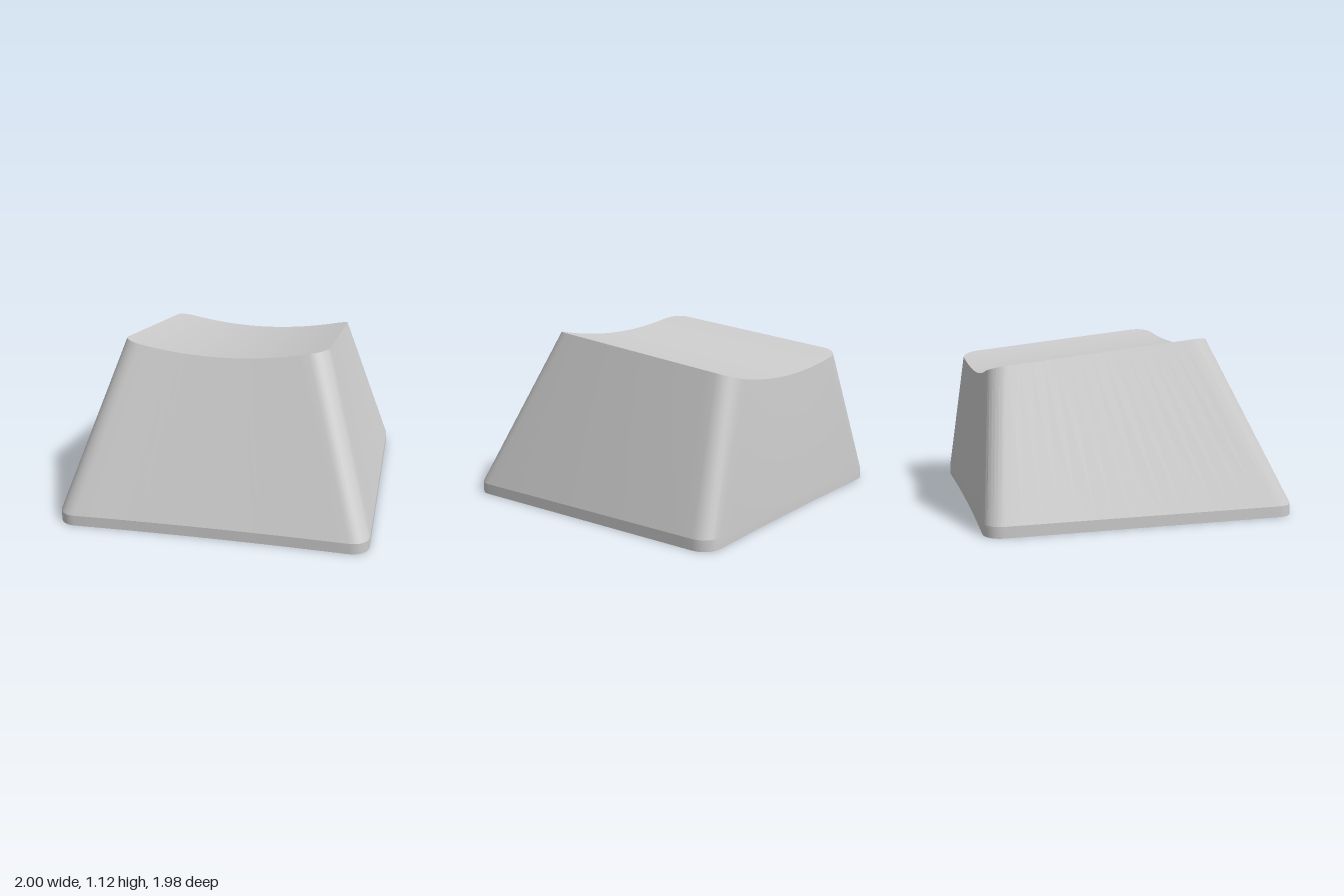
import * as THREE from 'three';
import { toCreasedNormals } from 'three/addons/utils/BufferGeometryUtils.js';

const grey = new THREE.MeshStandardMaterial({ color: 0xcccccc });

// Dished, forward-rising top surface and the plain tilted ceiling below it
const dish = (x, z) => 1.05 + 0.117 * (z - 0.54) + 0.08 * (x / 0.665) ** 2;
const ceiling = (x, z) => 0.89 + 0.117 * (z - 0.54);
const level = (y) => () => y;

// Rounded rectangle in plan; the front and back edges may bow in or out
function outline({ hx, front, back, r, bowFront = 0, bowBack = 0 }) {
  const pts = [];
  const corners = [
    [hx - r, front - r, 0], [-hx + r, front - r, 1],
    [-hx + r, back + r, 2], [hx - r, back + r, 3],
  ];
  const mid = (front + back) / 2, arc = 8, side = 16;
  corners.forEach(([cx, cz, q], k) => {
    const ring = [];
    for (let i = 0; i <= arc; i++) {
      const a = (q + i / arc) * Math.PI / 2;
      ring.push([cx + r * Math.cos(a), cz + r * Math.sin(a)]);
    }
    pts.push(...ring);
    const [nx, nz, nq] = corners[(k + 1) % 4];
    const next = [nx + r * Math.cos(nq * Math.PI / 2), nz + r * Math.sin(nq * Math.PI / 2)];
    const last = ring[arc];
    for (let i = 1; i < side; i++) {
      const t = i / side;
      pts.push([last[0] + (next[0] - last[0]) * t, last[1] + (next[1] - last[1]) * t]);
    }
  });
  return pts.map(([x, z]) => {
    const w = 1 - (x / hx) ** 2;
    const half = (front - back) / 2;
    const t = (z - mid) / half;
    return [x, z + w * (t > 0 ? bowFront * t : bowBack * -t)];
  });
}

// Places a plan outline at a height rule, optionally shrunk about a centre
const loop = (pts, height, s = 1, cz = 0) => pts.map(([x, z]) => {
  const px = x * s, pz = cz + (z - cz) * s;
  return new THREE.Vector3(px, height(px, pz), pz);
});

// Skins a run of equal-length closed loops
function skin(loops, crease) {
  const pos = [];
  const tri = (a, b, c) => {
    if (a.distanceTo(b) < 1e-6 || b.distanceTo(c) < 1e-6 || c.distanceTo(a) < 1e-6) return;
    for (const v of [a, b, c]) pos.push(v.x, v.y, v.z);
  };
  for (let i = 0; i < loops.length - 1; i++) {
    const p = loops[i], q = loops[i + 1], n = p.length;
    for (let j = 0; j < n; j++) {
      const k = (j + 1) % n;
      tri(p[j], p[k], q[j]);
      tri(p[k], q[k], q[j]);
    }
  }
  const geo = new THREE.BufferGeometry();
  geo.setAttribute('position', new THREE.Float32BufferAttribute(pos, 3));
  return toCreasedNormals(geo, crease);
}

function add(group, name, geometry) {
  const mesh = new THREE.Mesh(geometry, grey);
  mesh.name = name;
  group.add(mesh);
  return mesh;
}

// Stem plan: a disc with four diagonal grooves and a cross-shaped socket
function stemShape(radius, grooveRadius) {
  const shape = new THREE.Shape();
  for (let q = 0; q < 4; q++) {
    const d = Math.PI / 4 + q * Math.PI / 2;
    shape.absarc(0, 0, grooveRadius, d - 0.16, d + 0.16, false);
    shape.absarc(0, 0, radius, d + 0.14, d + Math.PI / 2 - 0.14, false);
  }
  shape.closePath();
  const l = 0.225, w = 0.07;
  const cross = [];
  for (let q = 0; q < 4; q++) {
    const o = new THREE.Vector2();
    for (const [x, y] of [[l, -w], [l, w], [w, w]]) {
      cross.push(new THREE.Vector2(x, y).rotateAround(o, q * Math.PI / 2));
    }
  }
  shape.holes.push(new THREE.Path(cross.reverse()));
  return shape;
}

export function createModel() {
  const group = new THREE.Group();
  group.name = 'keycap';

  const base = outline({ hx: 1, front: 0.995, back: -0.995, r: 0.12, bowFront: -0.02, bowBack: 0.015 });
  const top = outline({ hx: 0.665, front: 0.525, back: -0.912, r: 0.12, bowFront: 0.017, bowBack: 0.012 });
  const mouth = outline({ hx: 0.875, front: 0.865, back: -0.87, r: 0.06, bowFront: -0.01, bowBack: 0.01 });
  const roof = outline({ hx: 0.62, front: 0.49, back: -0.83, r: 0.06 });

  // Dished top
  const cap = [];
  for (let i = 0; i <= 10; i++) cap.push(loop(top, dish, i / 10, -0.18));
  add(group, 'dishedTop', skin(cap, 0.5));

  // Outer walls, bottom rim and hollow inside
  add(group, 'shell', skin([
    loop(top, dish),
    loop(base, level(0.07)),
    loop(base, level(0)),
    loop(mouth, level(0)),
    loop(mouth, level(0.05)),
    loop(roof, ceiling),
    loop(roof, ceiling, 0, -0.18),
  ], 0.25));

  // Stem
  const stemZ = 0.05;
  const stem = new THREE.ExtrudeGeometry(stemShape(0.305, 0.255), {
    depth: 0.58, bevelEnabled: false, curveSegments: 8,
  });
  stem.rotateX(-Math.PI / 2);
  add(group, 'stem', toCreasedNormals(stem, 0.4)).position.set(0, 0.3, stemZ);

  // Ribs from the stem to the four walls
  const ribs = new THREE.Group();
  ribs.name = 'ribs';
  group.add(ribs);
  const ribBottom = 0.7, ribHeight = 0.14, thick = 0.12, start = 0.27;
  for (const s of [1, -1]) {
    const len = 0.7 - start;
    add(ribs, s > 0 ? 'leftRib' : 'rightRib', new THREE.BoxGeometry(len, ribHeight, thick))
      .position.set(s * (start + len / 2), ribBottom + ribHeight / 2, stemZ);
    const from = stemZ + s * start, to = s > 0 ? 0.61 : -0.86;
    add(ribs, s > 0 ? 'frontRib' : 'backRib', new THREE.BoxGeometry(thick, ribHeight, Math.abs(to - from)))
      .position.set(0, ribBottom + ribHeight / 2, (from + to) / 2);
  }
  return group;
}
